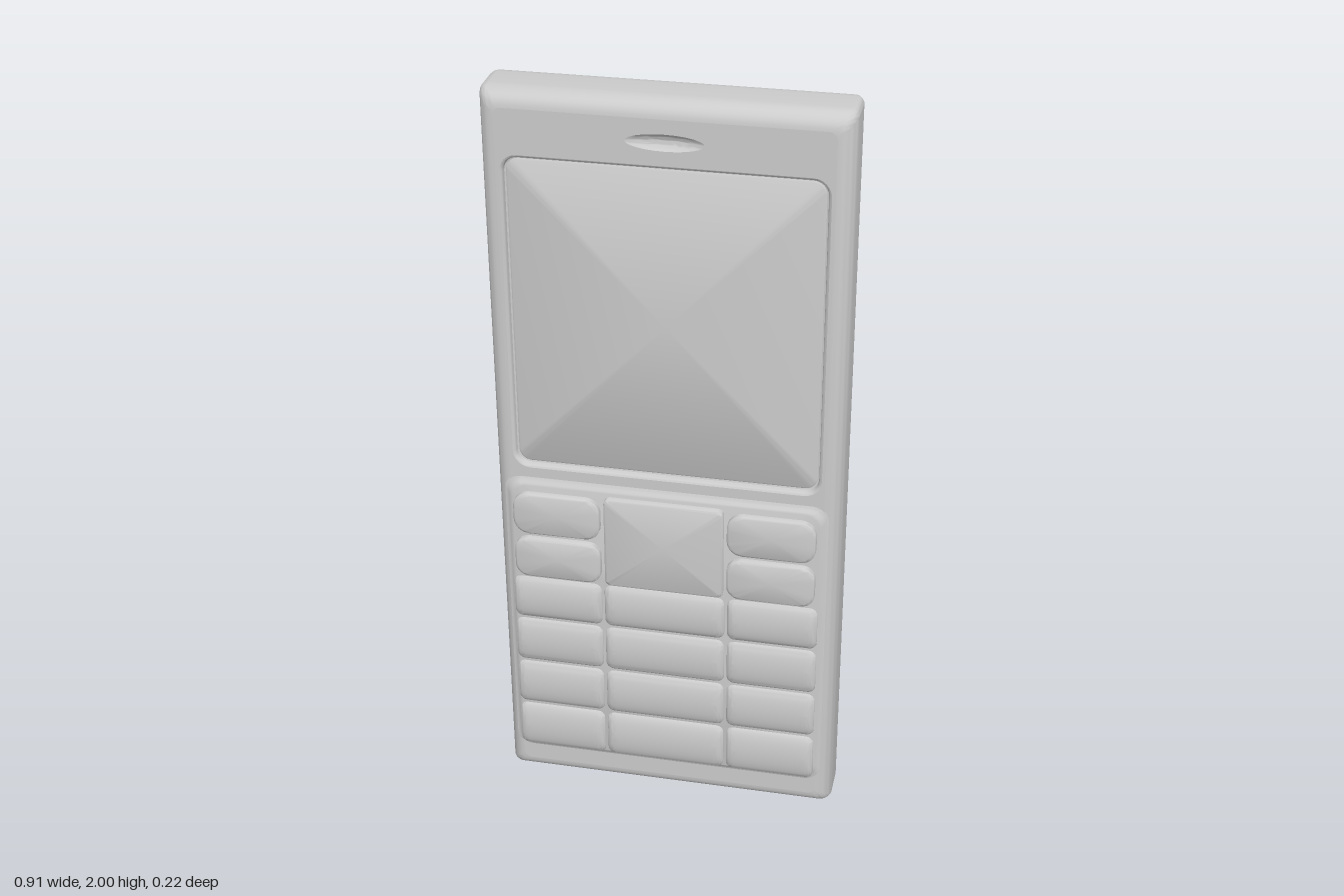
import * as THREE from 'three';
import { toCreasedNormals } from 'three/addons/utils/BufferGeometryUtils.js';

const material = new THREE.MeshStandardMaterial({ color: 0xcccccc });
const FRONT = 0.077, BACK = -0.101; // body faces
const CORNER_STEPS = 6;

// Rounded rectangle, counter-clockwise from +z; a large r gives an ellipse.
function outline(cx, cy, hw, hh, r) {
  const rx = Math.min(r, hw), ry = Math.min(r, hh), points = [];
  [[1, 1], [-1, 1], [-1, -1], [1, -1]].forEach(([sx, sy], q) => {
    for (let i = 0; i <= CORNER_STEPS; i++) {
      const a = (q + i / CORNER_STEPS) * Math.PI / 2;
      points.push(new THREE.Vector2(
        cx + sx * (hw - rx) + rx * Math.cos(a),
        cy + sy * (hh - ry) + ry * Math.sin(a)));
    }
  });
  return points;
}

// Skin between outlines; each ring is [hw, hh, r, z].
function loft(name, cx, cy, rings) {
  const positions = [], index = [];
  const n = 4 * (CORNER_STEPS + 1);
  rings.forEach(([hw, hh, r, z], k) => {
    outline(cx, cy, hw, hh, r).forEach((p, i) => {
      positions.push(p.x, p.y, z);
      if (k === 0) return;
      const j = (i + 1) % n, a = (k - 1) * n, b = k * n;
      index.push(a + i, a + j, b + j, a + i, b + j, b + i);
    });
  });
  const geometry = new THREE.BufferGeometry();
  geometry.setAttribute('position', new THREE.Float32BufferAttribute(positions, 3));
  geometry.setIndex(index);
  const mesh = new THREE.Mesh(toCreasedNormals(geometry, 0.7), material);
  mesh.name = name;
  return mesh;
}

// Body: flat back, rounded long edges, nearly square corners
function bodyShell(hw, hh) {
  const rings = [[0, 0, 0, BACK]], bx = 0.042, bz = 0.055, steps = 8;
  for (const side of [-1, 1]) {
    for (let i = 0; i <= steps; i++) {
      const a = (side < 0 ? steps - i : i) / steps * Math.PI / 2;
      const inset = bx * (1 - Math.cos(a));
      const z = side < 0 ? BACK + bz * (1 - Math.sin(a)) : FRONT - bz * (1 - Math.sin(a));
      rings.push([hw - inset, hh - inset, 0.02, z]);
    }
  }
  return loft('bodyShell', 0, 1, rings);
}

// Pillow key: arched from top to bottom, softly rounded ends
function pillowKey(name, x0, x1, y0, y1) {
  const hw = (x1 - x0) / 2, hh = (y1 - y0) / 2;
  const rings = [[hw, hh, 0.02, 0.078]];
  for (let i = 0; i <= 9; i++) {
    const a = i / 9 * Math.PI / 2;
    rings.push([hw - 0.025 * (1 - Math.cos(a)), hh * Math.cos(a), 0.02, 0.085 + 0.02 * Math.sin(a)]);
  }
  return loft(name, (x0 + x1) / 2, (y0 + y1) / 2, rings);
}

// Flat key with a narrow rounded edge
function flatKey(name, x0, x1, y0, y1, r) {
  const hw = (x1 - x0) / 2, hh = (y1 - y0) / 2;
  return loft(name, (x0 + x1) / 2, (y0 + y1) / 2, [
    [hw, hh, r, 0.08], [hw, hh, r, 0.102],
    [hw - 0.002, hh - 0.002, r, 0.105],
    [hw - 0.006, hh - 0.006, r, 0.107], [0, 0, 0, 0.107],
  ]);
}

export function createModel() {
  const phone = new THREE.Group();
  phone.name = 'phone';
  const parts = new THREE.Group();
  parts.name = 'phoneParts';
  parts.position.y = -1;
  phone.add(parts);

  const HW = 0.4475, HH = 0.997;
  parts.add(bodyShell(HW, HH));

  // Front face with openings for the screen and the earpiece
  const screen = [0, 1.413, 0.397, 0.427], ear = [0.004, 1.898, 0.095, 0.021];
  const face = new THREE.Shape(outline(0, 1, HW - 0.042, HH - 0.042, 0.02));
  face.holes.push(new THREE.Path(outline(...screen, 0.045)));
  face.holes.push(new THREE.Path(outline(...ear, 1)));
  const faceMesh = new THREE.Mesh(new THREE.ShapeGeometry(face), material);
  faceMesh.name = 'frontFace';
  faceMesh.position.z = FRONT;
  parts.add(faceMesh);

  // Screen sunk behind a rounded lip
  const [sx, sy, sw, sh] = screen;
  const lip = [[0, 0], [0.003, 0.001], [0.006, 0.004], [0.008, 0.009], [0.009, 0.016], [0.013, 0.017], [0.018, 0.014]];
  const screenRings = lip.map(([inset, depth]) => [sw - inset, sh - inset, 0.045 - inset, FRONT - depth]);
  screenRings.push([0, 0, 0, FRONT - 0.012]);
  parts.add(loft('screen', sx, sy, screenRings));

  // Earpiece dimple
  const dimple = [];
  for (let i = 0; i <= 6; i++) {
    const s = 1 - i / 6;
    dimple.push([ear[2] * s, ear[3] * s, 1, FRONT - 0.014 * (1 - s * s)]);
  }
  parts.add(loft('earpiece', ear[0], ear[1], dimple));

  // Raised keypad base flaring out of the face
  const base = [[0, 0.0765], [0.006, 0.078], [0.011, 0.082], [0.016, 0.087], [0.022, 0.089]];
  const baseRings = base.map(([inset, z]) => [0.42 - inset, 0.434 - inset, 0.04, z]);
  baseRings.push([0, 0, 0, 0.089]);
  parts.add(loft('keypadBase', -0.002, 0.526, baseRings));

  // Function keys: a pair on each side of a large centre key
  for (const side of [-1, 1]) {
    const word = side > 0 ? 'left' : 'right';
    const [a, b] = side > 0 ? [0.163, 0.391] : [-0.396, -0.168];
    parts.add(flatKey(word + 'SoftKey', a, b, 0.802, 0.922, 0.04));
    parts.add(flatKey(word + 'CallKey', a, b, 0.67, 0.788, 0.035));
  }
  parts.add(flatKey('centreKey', -0.157, 0.153, 0.668, 0.93, 0.015));

  // Number keys: four rows of three
  const columns = [[-0.407, -0.169], [-0.163, 0.157], [0.163, 0.4]];
  const rows = [[0.531, 0.66], [0.391, 0.527], [0.25, 0.387], [0.106, 0.246]];
  rows.forEach(([y0, y1], r) => columns.forEach(([x0, x1], c) => {
    parts.add(pillowKey('numberKey' + (r * 3 + c + 1), x0, x1, y0, y1));
  }));

  // Slight lean of the whole phone
  phone.rotation.set(-0.0085, 0, 0.0075);
  phone.position.y = 1;
  const model = new THREE.Group();
  model.name = 'mobilePhone';
  model.add(phone);
  return model;
}
